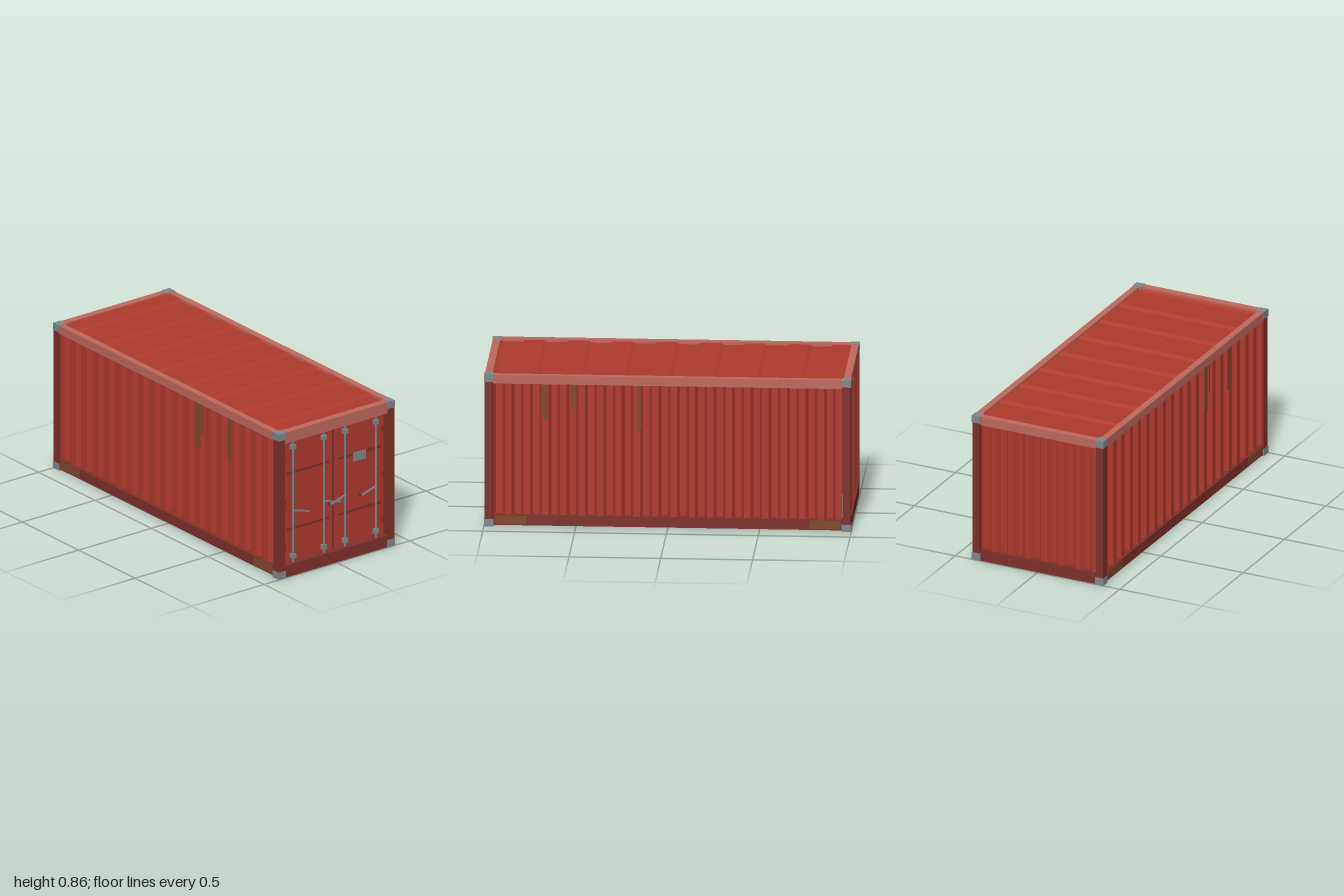
import * as THREE from 'three';

const mat = (name, color) => {
  const m = new THREE.MeshStandardMaterial({ color });
  m.name = name;
  return m;
};

export function createModel() {
  const red = mat('panel red', 0xb03a2e);
  const dark = mat('frame dark red', 0x80302a);
  const light = mat('rail pale red', 0xc0695d);
  const steel = mat('steel grey', 0x82888b);
  const rust = mat('rust brown', 0x804a2b);

  const model = new THREE.Group();
  model.name = 'shippingContainer';

  const add = (name, geometry, material, parent = model) => {
    const mesh = new THREE.Mesh(geometry, material);
    mesh.name = name;
    parent.add(mesh);
    return mesh;
  };

  // Box given by its min and max on each axis
  const box = (name, material, [x0, x1], [y0, y1], [z0, z1], parent = model) => {
    const mesh = add(name, new THREE.BoxGeometry(x1 - x0, y1 - y0, z1 - z0), material, parent);
    mesh.position.set((x0 + x1) / 2, (y0 + y1) / 2, (z0 + z1) / 2);
    return mesh;
  };

  // Trapezoid-ribbed sheet: runs along x, ribs rise in y, extruded in z
  const corrugated = (length, ribs, depth, height, slope = 0.15) => {
    const line = [];
    const step = length / ribs;
    const flat = 0.5 - slope;
    for (let i = 0; i < ribs; i++) {
      const x = -length / 2 + i * step;
      line.push([x, depth], [x + flat * step, depth],
        [x + 0.5 * step, 0], [x + (0.5 + flat) * step, 0]);
    }
    line.push([length / 2, depth]);
    const t = 0.004 * Math.sign(depth);
    const outline = [...line, ...line.map(([x, y]) => [x, y - t]).reverse()];
    const shape = new THREE.Shape(outline.map(([x, y]) => new THREE.Vector2(x, y)));
    return new THREE.ExtrudeGeometry(shape, { depth: height, bevelEnabled: false });
  };

  // Corrugated side walls, end wall and roof
  const wallY = 0.05, wallH = 0.77;
  for (const s of [1, -1]) {
    const wall = corrugated(1.9, 19, -0.024 * s, wallH).rotateX(-Math.PI / 2);
    add(s > 0 ? 'frontWall' : 'backWall', wall.translate(0, wallY, 0.362 * s), red);
  }
  const end = corrugated(0.72, 7, 0.024, wallH).rotateX(-Math.PI / 2).rotateY(Math.PI / 2);
  add('endWall', end.translate(-0.962, wallY, 0), red);
  add('roof', corrugated(1.92, 8, 0.01, 0.73, 0.1).translate(0, 0.836, -0.365), red);

  // Corner posts and castings
  for (const x of [1, -1]) {
    for (const z of [1, -1]) {
      const span = (s, a, b) => (s > 0 ? [a, b] : [-b, -a]);
      box('cornerPost', dark, span(x, 0.952, 0.997), [0.04, 0.815], span(z, 0.353, 0.398));
      box('bottomCasting', steel, span(x, 0.947, 1), [0, 0.041], span(z, 0.349, 0.4));
      box('topCasting', steel, span(x, 0.947, 1), [0.814, 0.855], span(z, 0.349, 0.4));
    }
  }

  // Side rails with rust patches and run-down streaks
  const streaks = {
    1: [[0.27, 0.036, 0.27], [0.31, 0.014, 0.18], [0.547, 0.034, 0.25]],
    '-1': [[0.67, 0.034, 0.2], [0.51, 0.03, 0.14], [0.155, 0.018, 0.25]],
  };
  for (const s of [1, -1]) {
    const side = (a, b) => (s > 0 ? [a, b] : [-b, -a]);
    box('topSideRail', light, [-0.95, 0.95], [0.805, 0.853], side(0.36, 0.397));
    box('bottomSideRail', dark, [-0.95, 0.95], [0.008, 0.066], side(0.352, 0.395));
    for (const x of [-0.857, 0.855]) {
      box('railRust', rust, [x - 0.085, x + 0.085], [0.016, 0.061], side(0.394, 0.398));
    }
    for (const [x, w, h] of streaks[s]) {
      box('rustStreak', rust, [x - w / 2, x + w / 2], [0.806 - h, 0.806], side(0.386, 0.389));
    }
  }

  // End rails
  box('endTopRail', light, [-0.996, -0.957], [0.805, 0.853], [-0.35, 0.35]);
  box('endBottomRail', dark, [-0.996, -0.952], [0, 0.066], [-0.35, 0.35]);
  box('doorHeader', light, [0.955, 0.996], [0.788, 0.854], [-0.35, 0.35]);
  box('doorSill', dark, [0.952, 0.996], [0, 0.068], [-0.353, 0.353]);

  // Double doors
  const doors = new THREE.Group();
  doors.name = 'doors';
  model.add(doors);
  box('doorSeal', dark, [0.948, 0.959], [0.06, 0.792], [-0.355, 0.355], doors);
  box('centreSeal', dark, [0.958, 0.968], [0.07, 0.785], [-0.005, 0.005], doors);

  for (const s of [1, -1]) {
    const side = (a, b) => (s > 0 ? [a, b] : [-b, -a]);
    box('doorPanel', red, [0.95, 0.966], [0.072, 0.783], side(0.007, 0.349), doors);
    for (const y of [0.595, 0.265]) {
      box('doorStiffener', dark, [0.964, 0.972], [y - 0.007, y + 0.007], side(0.029, 0.325), doors);
    }
    for (const y of [0.695, 0.43, 0.165]) {
      box('hinge', dark, [0.964, 0.982], [y - 0.017, y + 0.017], side(0.335, 0.353), doors);
    }
    // Locking rods, brackets, handles and handle holders
    for (const [z, tip] of [[0.285, 0.18], [0.073, -0.034]]) {
      const rod = add('lockingRod', new THREE.CylinderGeometry(0.006, 0.006, 0.713, 8), steel, doors);
      rod.position.set(0.98, 0.4275, z * s);
      for (const y of [0.75, 0.106]) {
        box('rodBracket', steel, [0.965, 0.99], [y - 0.013, y + 0.013], side(z - 0.014, z + 0.014), doors);
      }
      const dz = (tip - z) * s, dy = -0.031;
      const handle = add('handle', new THREE.BoxGeometry(0.008, 0.009, Math.hypot(dz, dy)), steel, doors);
      handle.position.set(0.988, 0.378 + dy / 2, z * s + dz / 2);
      handle.rotation.x = -Math.atan(dy / dz);
      const h = tip + 0.005;
      box('handleHolder', dark, [0.964, 0.985], [0.339, 0.355], side(h - 0.009, h + 0.009), doors);
    }
  }
  box('dataPlate', steel, [0.972, 0.976], [0.552, 0.604], [-0.218, -0.134], doors);

  return model;
}
